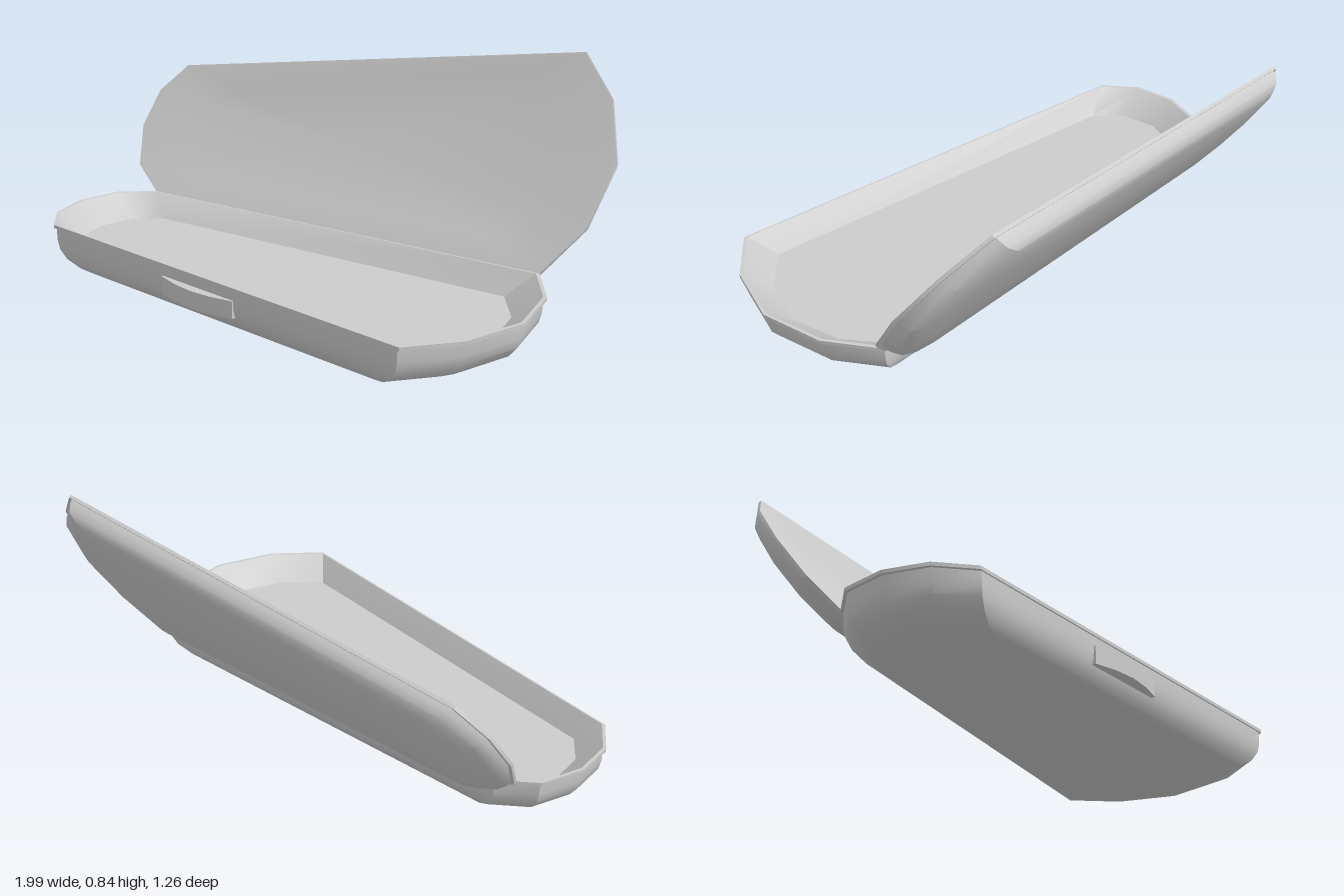
import * as THREE from 'three';
import { toCreasedNormals } from 'three/addons/utils/BufferGeometryUtils.js';

// Rim outline [x, z], from the back left corner round the wide end
const OUTLINE = [
  [-0.82, -0.03], [0.80, -0.17], [0.93, 0.0], [0.99, 0.23], [0.93, 0.46],
  [0.80, 0.625], [-0.83, 0.49], [-0.93, 0.38], [-0.965, 0.23], [-0.93, 0.07],
];
const CENTRE_Z = 0.23;
const RIM_Y = 0.18;

// Lofts the outline through rings of [scale x, scale z, height]
function shell(rings) {
  const n = OUTLINE.length, pos = [], index = [];
  for (const [sx, sz, y] of rings) {
    for (const [x, z] of OUTLINE) pos.push(x * sx, y, CENTRE_Z + (z - CENTRE_Z) * sz);
  }
  for (let k = 0; k < rings.length - 1; k++) {
    for (let i = 0; i < n; i++) {
      const j = (i + 1) % n, a = k * n + i, b = k * n + j;
      if (rings[k][0] > 0) index.push(a, a + n, b);
      if (rings[k + 1][0] > 0) index.push(b, a + n, b + n);
    }
  }
  const geo = new THREE.BufferGeometry();
  geo.setAttribute('position', new THREE.Float32BufferAttribute(pos, 3));
  geo.setIndex(index);
  return toCreasedNormals(geo, 0.6);
}

export function createModel() {
  const group = new THREE.Group();
  const material = new THREE.MeshStandardMaterial({ color: 0xcccccc });
  const add = (name, geo) => {
    const mesh = new THREE.Mesh(geo, material);
    mesh.name = name;
    group.add(mesh);
    return mesh;
  };

  // Tray: rounded underside, thin lip, sloping inner walls and floor
  add('tray', shell([
    [0, 0, 0], [0.81, 0.81, 0.011], [0.88, 0.875, 0.025], [0.945, 0.94, 0.055],
    [0.975, 0.975, 0.09], [0.985, 0.985, 0.125], [0.987, 0.985, 0.168],
    [1, 1, 0.168], [1, 1, RIM_Y], [0.988, 0.98, RIM_Y],
    [0.89, 0.81, 0.1], [0, 0, 0.1],
  ]));

  // Lid: shallow shell turned open about the slanting back edge
  const lidGeo = shell([
    [0, 0, 0.03], [0.74, 0.71, 0.03], [0.988, 0.985, 0], [1, 1, 0], [1, 1, 0.012],
    [0.987, 0.987, 0.012], [0.98, 0.98, 0.03], [0.96, 0.955, 0.055],
    [0.91, 0.9, 0.074], [0.84, 0.82, 0.083], [0, 0, 0.087],
  ]);
  const [hx, hz] = OUTLINE[0], [ex, ez] = OUTLINE[1];
  lidGeo.translate(-hx, 0, -hz);
  const lid = add('lid', lidGeo);
  lid.position.set(hx, RIM_Y, hz);
  lid.quaternion.setFromAxisAngle(
    new THREE.Vector3(hx - ex, 0, hz - ez).normalize(), THREE.MathUtils.degToRad(123.7));

  // Handle: bowed grip on the front wall
  const bow = new THREE.Shape();
  bow.moveTo(-0.17, 0.03);
  bow.lineTo(-0.17, -0.003);
  bow.lineTo(-0.085, -0.024);
  bow.lineTo(0, -0.032);
  bow.lineTo(0.085, -0.024);
  bow.lineTo(0.17, -0.003);
  bow.lineTo(0.17, 0.03);
  const handleGeo = new THREE.ExtrudeGeometry(bow, { depth: 0.062, bevelEnabled: false });
  handleGeo.rotateX(-Math.PI / 2);
  const handle = add('handle', toCreasedNormals(handleGeo, 0.6));
  handle.position.set(-0.08, 0.072, 0.55);
  handle.rotation.y = -0.08;

  return group;
}
